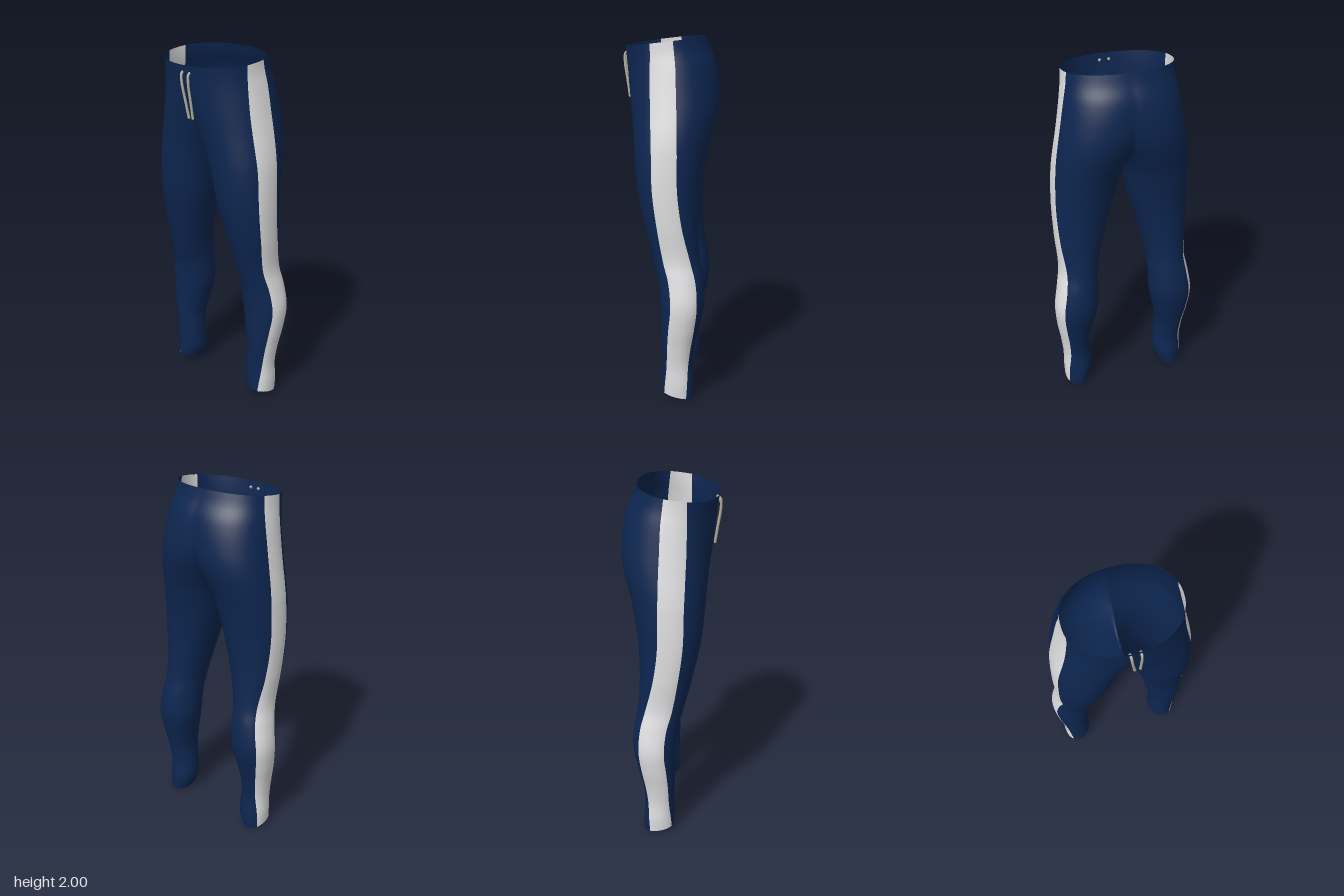
import * as THREE from 'three';
import { mergeVertices } from 'three/addons/utils/BufferGeometryUtils.js';

// Cross-sections of one trouser half, from hem to waist:
// height, outer x, inner x (negative = open into the other half),
// front z, back z, stripe front z, stripe back z
const SECTIONS = [
  [0.02, 0.365, 0.235, 0.025, -0.145, 0.015, -0.11],
  [0.09, 0.37, 0.208, 0.027, -0.15, 0.01, -0.115],
  [0.2, 0.37, 0.21, 0.027, -0.14, 0.0, -0.12],
  [0.32, 0.385, 0.213, 0.03, -0.153, -0.005, -0.135],
  [0.42, 0.403, 0.195, 0.033, -0.177, -0.012, -0.152],
  [0.56, 0.415, 0.167, 0.038, -0.205, -0.025, -0.168],
  [0.7, 0.394, 0.162, 0.053, -0.195, -0.012, -0.158],
  [0.8, 0.376, 0.155, 0.08, -0.176, 0.015, -0.132],
  [1.0, 0.385, 0.11, 0.13, -0.166, 0.05, -0.085],
  [1.2, 0.39, 0.056, 0.17, -0.176, 0.075, -0.06],
  [1.41, 0.383, 0, 0.19, -0.21, 0.08, -0.058],
  [1.5, 0.373, -0.04, 0.196, -0.235, 0.083, -0.056],
  [1.6, 0.357, -0.1, 0.207, -0.26, 0.086, -0.054],
  [1.7, 0.34, -0.155, 0.22, -0.266, 0.089, -0.05],
  [1.85, 0.316, -0.225, 0.236, -0.24, 0.09, -0.044],
  [1.92, 0.305, -0.25, 0.244, -0.206, 0.09, -0.036],
  [1.975, 0.302, -0.26, 0.25, -0.187, 0.09, -0.03],
];
const CROTCH = 1.41, HEM = 0.021, WAIST = 1.975;
const POWER = 0.9; // slightly boxy ellipse
const FRONT = 22, STRIPE = 10, BACK = 22; // segments around one half

const profile = new THREE.CubicInterpolant(
  SECTIONS.map(s => s[0]), SECTIONS.flatMap(s => s.slice(1)), 6);

const signedPow = (v, p) => Math.sign(v) * Math.abs(v) ** p;

// Points around one half: inner front, front, outer side, back, inner back
function ring(y, side) {
  const [xo, xiRaw, zf, zb, sf, sb] = profile.evaluate(y);
  const xi = Math.abs(xiRaw) < 1e-5 ? 0 : xiRaw;
  const cx = (xo + xi) / 2, rx = (xo - xi) / 2;
  const cz = (zf + zb) / 2, rz = (zf - zb) / 2;
  const start = xi < 0 ? Math.acos(-cx / rx) : Math.PI;
  const stripeAngle = z =>
    Math.asin(signedPow(THREE.MathUtils.clamp((z - cz) / rz, -1, 1), 1 / POWER));
  const stops = [start, stripeAngle(sf), stripeAngle(sb), -start];
  const points = [];
  [FRONT, STRIPE, BACK].forEach((count, part) => {
    for (let k = part ? 1 : 0; k <= count; k++) {
      const a = THREE.MathUtils.lerp(stops[part], stops[part + 1], k / count);
      const z = cz + rz * signedPow(Math.sin(a), POWER);
      // Slope the hem and the waist edge
      const hem = 0.25 * (z + 0.06) * Math.max(0, 1 - y / 0.16);
      const waist = -0.115 * (z - 0.03) * Math.max(0, (y - 1.7) / 0.275);
      points.push(side * (cx + rx * Math.cos(a)), y + hem + waist, z);
    }
  });
  return points;
}

function trouserGeometry() {
  const rows = [];
  for (let i = 0; i <= 60; i++) rows.push(HEM + (CROTCH - HEM) * i / 60);
  for (let i = 1; i <= 36; i++) rows.push(CROTCH + (WAIST - CROTCH) * (i / 36) ** 1.6);
  const columns = FRONT + STRIPE + BACK + 1;
  const positions = [], cloth = [], stripe = [];
  for (const side of [1, -1]) {
    const base = positions.length / 3;
    rows.forEach(y => positions.push(...ring(y, side)));
    for (let i = 0; i < rows.length - 1; i++) {
      for (let j = 0; j < columns - 1; j++) {
        const a = base + i * columns + j, b = a + 1, c = a + columns, d = c + 1;
        const target = j >= FRONT && j < FRONT + STRIPE ? stripe : cloth;
        if (side > 0) target.push(a, b, d, a, d, c);
        else target.push(a, d, b, a, c, d);
      }
    }
  }
  let geometry = new THREE.BufferGeometry();
  geometry.setAttribute('position', new THREE.Float32BufferAttribute(positions, 3));
  geometry.setIndex([...cloth, ...stripe]);
  geometry = mergeVertices(geometry, 1e-4); // join the seams
  geometry.clearGroups();
  geometry.addGroup(0, cloth.length, 0);
  geometry.addGroup(cloth.length, stripe.length, 1);
  geometry.computeVertexNormals();
  return geometry;
}

export function createModel() {
  const navy = new THREE.MeshStandardMaterial({ name: 'navy cloth', color: 0x0d2650, side: THREE.DoubleSide });
  const white = new THREE.MeshStandardMaterial({ name: 'white stripe', color: 0xe0e0e2, side: THREE.DoubleSide });
  const cord = new THREE.MeshStandardMaterial({ name: 'cord', color: 0xb8b0a0 });

  const model = new THREE.Group();
  model.name = 'trackPants';

  // Both legs and the seat, with side stripes
  const trousers = new THREE.Mesh(trouserGeometry(), [navy, white]);
  trousers.name = 'trousers';
  model.add(trousers);

  // Two hanging drawstrings
  for (const [name, top, bottom] of [['rightDrawstring', -0.024, 0.004], ['leftDrawstring', 0.029, 0.034]]) {
    const at = (t, y, z) => new THREE.Vector3(THREE.MathUtils.lerp(top, bottom, t), y, z);
    const path = new THREE.CatmullRomCurve3([
      at(0, 1.915, 0.238), at(0.05, 1.905, 0.254), at(0.2, 1.86, 0.257),
      at(0.6, 1.76, 0.243), at(1, 1.67, 0.23),
    ]);
    const string = new THREE.Mesh(new THREE.TubeGeometry(path, 24, 0.007, 8), cord);
    string.name = name;
    model.add(string);
    for (const [t, label] of [[0, 'Knot'], [1, 'Tip']]) {
      const end = new THREE.Mesh(new THREE.SphereGeometry(0.008, 10, 8), cord);
      end.name = name + label;
      end.position.copy(path.getPoint(t));
      model.add(end);
    }
  }
  return model;
}
